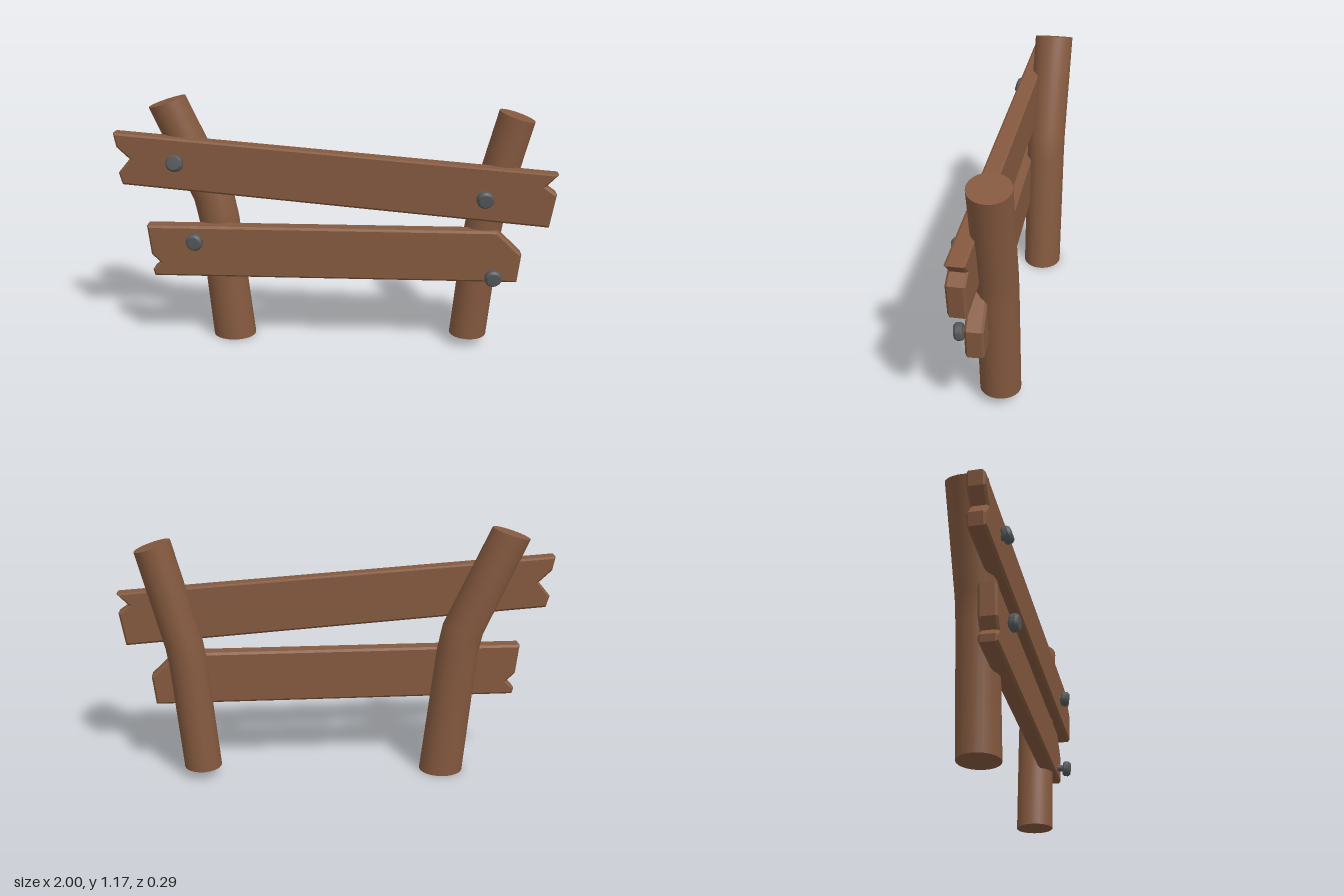
import * as THREE from 'three';
import { toCreasedNormals } from 'three/addons/utils/BufferGeometryUtils.js';

const wood = new THREE.MeshStandardMaterial({ color: 0x84593f });
const iron = new THREE.MeshStandardMaterial({ color: 0x55585a });

// Bent log: a cylinder whose rings are moved onto sections [x, y, tilt, radiusX]
function makePost(name, sections, radiusZ) {
  const rows = sections.length - 1;
  const geo = new THREE.CylinderGeometry(1, 1, 1, 28, rows);
  const p = geo.attributes.position;
  for (let i = 0; i < p.count; i++) {
    const [x, y, tilt, rx] = sections[Math.round((p.getY(i) + 0.5) * rows)];
    const u = p.getX(i) * rx;
    p.setXYZ(i, x + u * Math.cos(tilt), y + u * Math.sin(tilt), -0.052 + p.getZ(i) * radiusZ);
  }
  const mesh = new THREE.Mesh(toCreasedNormals(geo, 0.6), wood);
  mesh.name = name;
  return mesh;
}

// Bevelled board from its front outline, centred on its own thickness
function makePlank(name, outline, z, turn) {
  const bevel = 0.01, thick = 0.08;
  const shape = new THREE.Shape(outline.map(([x, y]) => new THREE.Vector2(x, y)));
  const geo = new THREE.ExtrudeGeometry(shape, {
    depth: thick - 2 * bevel, bevelThickness: bevel, bevelSize: bevel,
    bevelOffset: -bevel, bevelSegments: 1,
  });
  geo.translate(0, 0, bevel - thick / 2);
  const mesh = new THREE.Mesh(geo, wood);
  mesh.position.z = z;
  mesh.rotation.y = turn;
  mesh.name = name;
  return mesh;
}

// Bolt with a rounded head and a thin shank, pointing forward
function makeBolt(name, x, y, z, pitch, yaw) {
  const bolt = new THREE.Group();
  const profile = [[0, -0.02], [0.032, -0.02], [0.039, -0.012], [0.039, 0.008], [0.03, 0.019], [0, 0.021]]
    .map(([r, h]) => new THREE.Vector2(r, h));
  const head = new THREE.Mesh(toCreasedNormals(new THREE.LatheGeometry(profile, 14), 0.5), iron);
  head.name = 'boltHead';
  const shank = new THREE.Mesh(new THREE.CylinderGeometry(0.017, 0.017, 0.09, 12), iron);
  shank.name = 'boltShank';
  shank.position.y = -0.05;
  bolt.add(head, shank);
  bolt.position.set(x, y, z);
  bolt.rotation.set(Math.PI / 2 - pitch, 0, yaw);
  bolt.name = name;
  return bolt;
}

export function createModel() {
  const fence = new THREE.Group();
  fence.name = 'brokenFence';

  // Posts
  fence.add(
    makePost('rightPost', [
      [-0.495, 0, 0, 0.102], [-0.553, 0.59, 0.13, 0.094],
      [-0.575, 0.7, 0.25, 0.094], [-0.775, 1.145, 0.3, 0.088],
    ], 0.093),
    makePost('leftPost', [
      [0.637, 0.045, 0, 0.087], [0.683, 0.55, -0.1, 0.086],
      [0.698, 0.65, -0.2, 0.086], [0.815, 1.105, -0.3, 0.084],
    ], 0.089),
  );

  // Planks with splintered ends
  fence.add(
    makePlank('upperPlank', [
      [-0.97, 0.78], [0.97, 0.625], [0.995, 0.78], [0.945, 0.815], [0.998, 0.87],
      [-1, 1.02], [-0.988, 0.955], [-0.93, 0.9], [-0.985, 0.835],
    ], 0.044, 0),
    makePlank('lowerPlank', [
      [-0.84, 0.345], [0.845, 0.345], [0.86, 0.48], [0.745, 0.59],
      [-0.865, 0.59], [-0.85, 0.45], [-0.81, 0.41], [-0.847, 0.375],
    ], 0.037, 0.031),
  );

  // Bolts
  fence.add(
    makeBolt('upperRightBolt', -0.715, 0.893, 0.11, 0.26, 0.06),
    makeBolt('upperLeftBolt', 0.68, 0.757, 0.11, -0.15, -0.1),
    makeBolt('lowerRightBolt', -0.637, 0.524, 0.125, -0.04, 0.05),
    makeBolt('lowerLeftBolt', 0.733, 0.383, 0.102, -0.12, -0.1),
  );
  return fence;
}
